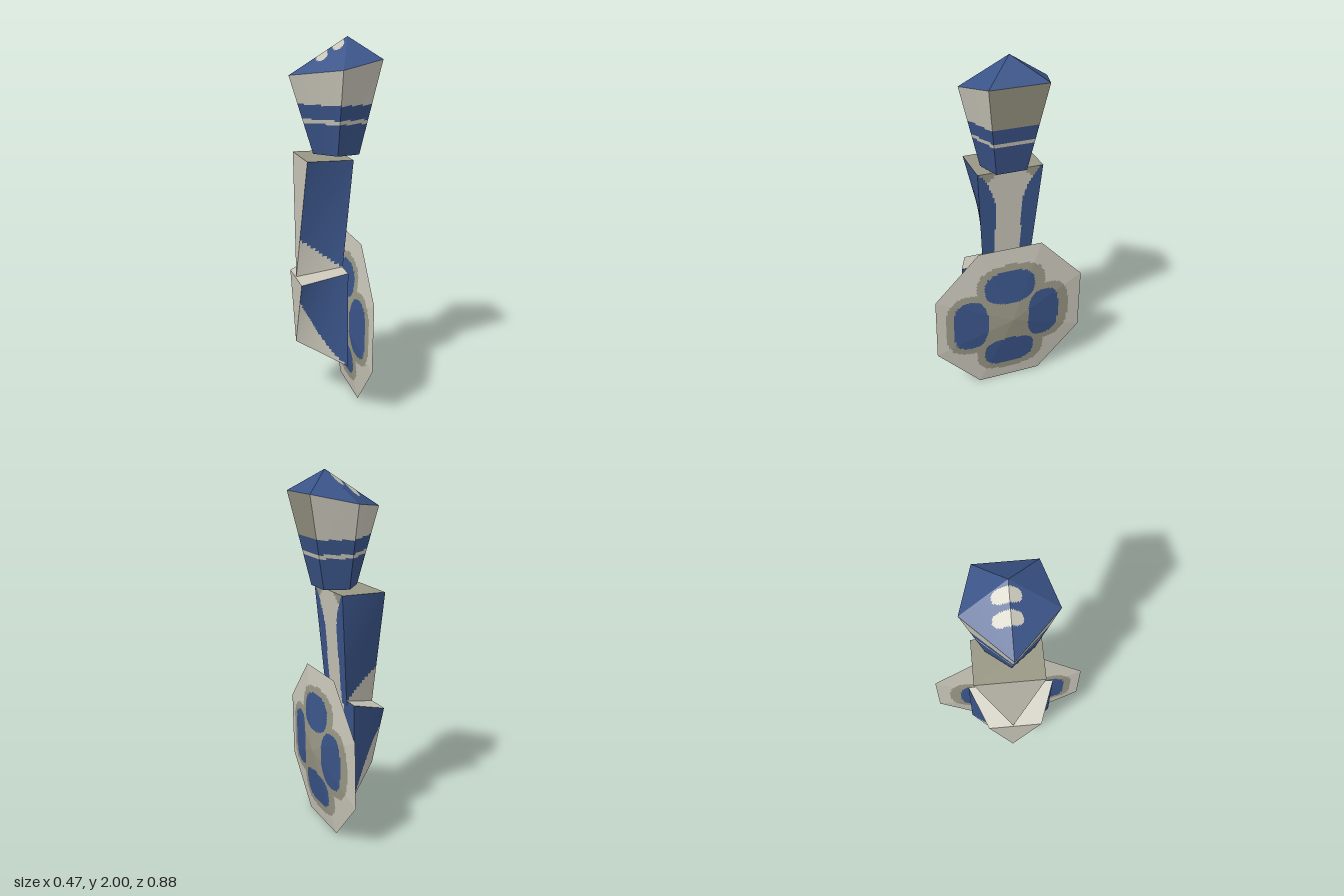
import * as THREE from 'three';

const mat = (name, color) => {
  const m = new THREE.MeshStandardMaterial({ color, side: THREE.DoubleSide });
  m.name = name;
  return m;
};
const BLUE = 0, CREAM = 1, OLIVE = 2;

export function createModel() {
  const mats = [mat('blue', 0x3a5488), mat('cream', 0xc8c5b8), mat('olive', 0x989684)];
  const model = new THREE.Group();
  model.name = 'armWithShield';
  const part = (name) => {
    const g = new THREE.Group();
    g.name = name;
    model.add(g);
    return g;
  };
  const V = (x, y, z) => new THREE.Vector3(x, y, z);

  // Four-cornered face split into an n by n grid; rule(point) picks each cell's colour.
  // A repeated corner makes a triangle. The face is turned away from the centre.
  function face(group, name, corners, centre, rule, n = 36) {
    let [a, b, c, d] = corners;
    const normal = c.clone().sub(a).cross(d.clone().sub(b));
    const mid = a.clone().add(b).add(c).add(d).multiplyScalar(0.25);
    if (normal.dot(mid.sub(centre)) < 0) [b, d] = [d, b];
    const pick = typeof rule === 'function' ? rule : () => rule;
    if (typeof rule !== 'function') n = 1;
    const at = (u, v) => a.clone().lerp(b, u).lerp(d.clone().lerp(c, u), v);
    const pos = [], lists = [[], [], []];
    for (let j = 0; j <= n; j++)
      for (let i = 0; i <= n; i++) pos.push(...at(i / n, j / n).toArray());
    for (let j = 0; j < n; j++)
      for (let i = 0; i < n; i++) {
        const k = j * (n + 1) + i, m = k + n + 1;
        const colour = pick(at((i + 0.5) / n, (j + 0.5) / n));
        lists[colour].push(k, k + 1, m + 1, k, m + 1, m);
      }
    const geo = new THREE.BufferGeometry();
    geo.setAttribute('position', new THREE.Float32BufferAttribute(pos, 3));
    geo.setIndex(lists.flat());
    let start = 0;
    lists.forEach((l, i) => {
      if (l.length) geo.addGroup(start, l.length, i);
      start += l.length;
    });
    geo.computeVertexNormals();
    const mesh = new THREE.Mesh(geo, mats);
    mesh.name = name;
    group.add(mesh);
  }

  // Rounded-square blob test
  const blob = (u, v, cu, cv, ru, rv) =>
    Math.abs((u - cu) / ru) ** 2.7 + Math.abs((v - cv) / rv) ** 2.7 < 1;

  // Shoulder: five-sided flared cup with a slanted pointed lid
  const shoulder = part('shoulder');
  const rim = [V(-0.235, 1.8, 0), V(0, 1.835, 0.24), V(0.235, 1.885, 0.16),
    V(0.235, 1.885, -0.16), V(0, 1.835, -0.24)];
  const foot = [V(-0.105, 1.38, 0), V(0, 1.38, 0.13), V(0.13, 1.38, 0.085),
    V(0.13, 1.38, -0.085), V(0, 1.38, -0.13)];
  const apex = V(0.085, 2, 0), footMid = V(0.03, 1.38, 0), heart = V(0.03, 1.65, 0);
  for (let i = 0; i < 5; i++) {
    const j = (i + 1) % 5;
    const upper = i === 2 ? OLIVE : CREAM;
    face(shoulder, 'shoulderSide', [foot[i], foot[j], rim[j], rim[i]], heart, (p) => {
      if (p.y > 1.65) return upper;
      return p.y > 1.55 && p.y < 1.572 ? CREAM : BLUE;
    }, 48);
    face(shoulder, 'shoulderLid', [apex, apex, rim[i], rim[j]], heart, (p) =>
      blob(p.x, p.z, -0.06, -0.015, 0.032, 0.072) || blob(p.x, p.z, 0.03, -0.013, 0.032, 0.07)
        ? CREAM : BLUE);
    face(shoulder, 'shoulderBase', [footMid, footMid, foot[i], foot[j]], heart, BLUE);
  }

  // Arm segment: four-cornered on the outer side, three-cornered on the inner side.
  // outer = [top front, top back, bottom back, bottom front], inner = [top front, top back, bottom]
  function segment(name, outer, inner, sideRule, outerRule, topColour) {
    const g = part(name);
    const c = V(0, 0, 0);
    [...outer, ...inner].forEach((p) => c.addScaledVector(p, 1 / 7));
    const [tf, tb, bb, bf] = outer, [itf, itb, ib] = inner;
    face(g, name + 'Front', [tf, bf, ib, itf], c, sideRule);
    face(g, name + 'Back', [tb, bb, ib, itb], c, sideRule);
    face(g, name + 'Outer', outer, c, outerRule);
    face(g, name + 'Inner', [itf, itb, ib, ib], c, CREAM);
    face(g, name + 'Top', [tf, tb, itb, itf], c, topColour);
    face(g, name + 'Bottom', [bf, bb, ib, ib], c, CREAM);
  }

  segment('upperArm',
    [V(0.075, 1.365, 0.17), V(0.075, 1.365, -0.2), V(0.025, 0.74, -0.15), V(0.025, 0.74, 0.13)],
    [V(-0.175, 1.365, 0.17), V(-0.175, 1.365, -0.2), V(-0.205, 0.69, 0)],
    (p) => (p.y < 0.92 - 0.68 * (p.x + 0.2) ? CREAM : BLUE),
    (p) => {
      // Curved blue edges with worn upper corners
      const half = 0.075 + 0.1 * Math.max(0, (p.y - 1.12) / 0.245) ** 2;
      const z = Math.abs(p.z + 0.012);
      if (z > half) return BLUE;
      return p.y > 1.25 && z > 0.19 - (p.y - 1.25) * 1.1 ? OLIVE : CREAM;
    }, OLIVE);

  segment('forearm',
    [V(0.025, 0.77, 0.255), V(0.025, 0.77, -0.24), V(0.025, 0.235, -0.24), V(0.025, 0.235, 0.25)],
    [V(-0.21, 0.69, 0.165), V(-0.21, 0.69, -0.14), V(-0.21, 0.31, 0)],
    (p) => (p.y < 0.24 + 0.34 * Math.max(0, (0.025 - p.x) / 0.235) ** 1.4 ? CREAM : BLUE),
    (p) => (Math.abs(p.z) > 0.12 ? BLUE : CREAM), CREAM);

  // Shield: eight-sided disc, pointed on both sides, with four round marks
  const shield = part('shield');
  const edge = [[0.905, 0.185], [0.64, 0.44], [0.27, 0.44], [0.005, 0.185],
    [0.005, -0.185], [0.27, -0.44], [0.64, -0.44], [0.905, -0.185]]
    .map(([y, z]) => V(0.103 + 0.016 * y, y, z));
  const marks = [[0, 0.67, 0.15, 0.1], [0, 0.215, 0.15, 0.1],
    [0.235, 0.445, 0.1, 0.165], [-0.205, 0.445, 0.1, 0.16]];
  const shieldRule = (p) => {
    if (marks.some(([z, y, rz, ry]) => blob(p.z, p.y, z + 0.01, y, rz, ry))) return BLUE;
    const halo = marks.some(([z, y, rz, ry]) => blob(p.z, p.y, z, y, rz + 0.055, ry + 0.04));
    return halo || Math.hypot(p.z, p.y - 0.45) < 0.27 ? OLIVE : CREAM;
  };
  const shieldMid = V(0.108, 0.455, 0);
  for (const [name, x] of [['shieldOuterFace', 0.172], ['shieldInnerFace', 0.038]]) {
    const tip = V(x, 0.455, 0);
    edge.forEach((p, i) =>
      face(shield, name, [tip, tip, p, edge[(i + 1) % 8]], shieldMid, shieldRule, 40));
  }
  return model;
}
